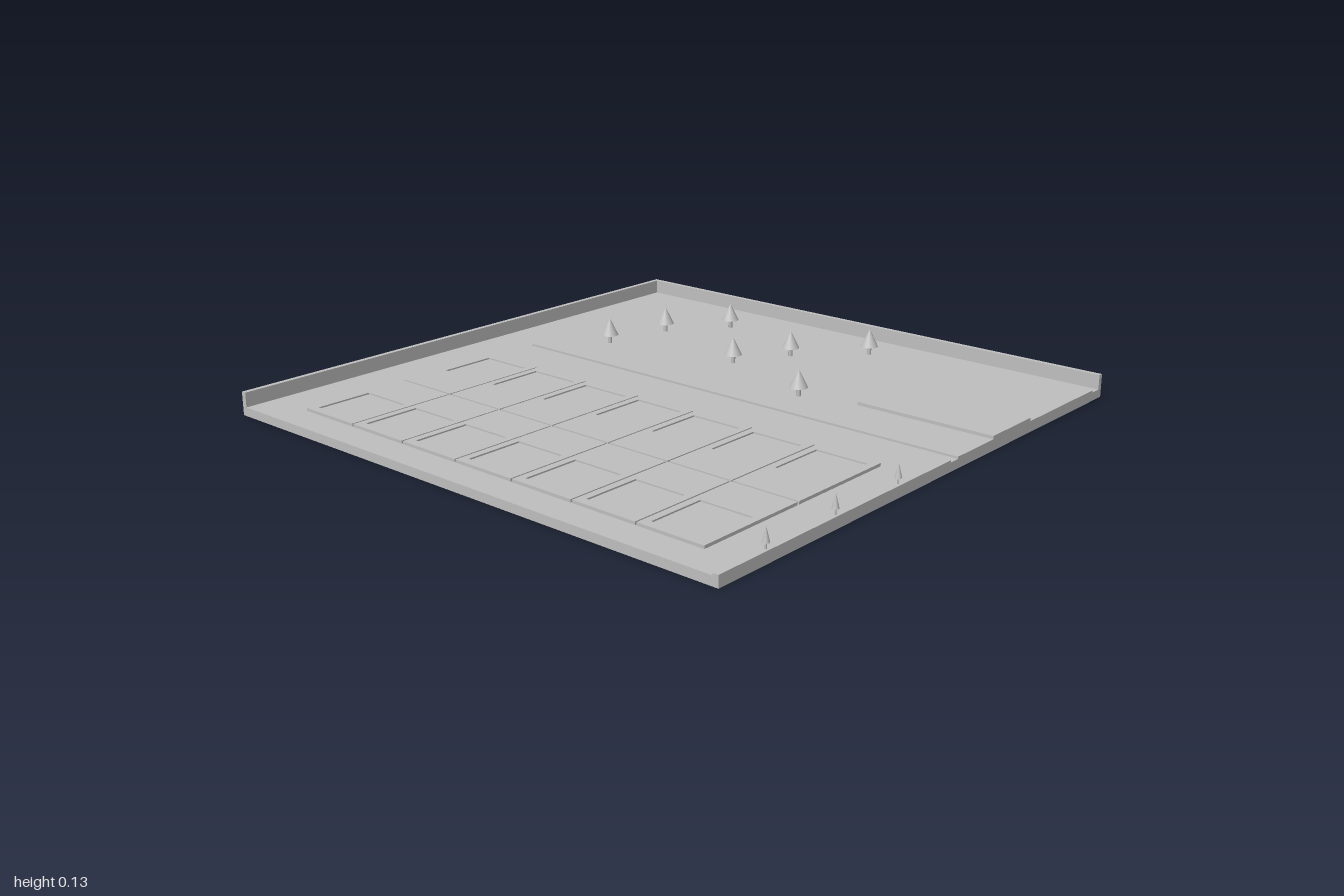
import * as THREE from 'three';

const grey = new THREE.MeshStandardMaterial({ color: 0xc0c0c0 });
grey.name = 'plain grey';

function add(parent, name, geometry, x = 0, y = 0, z = 0) {
  const mesh = new THREE.Mesh(geometry, grey);
  mesh.name = name;
  mesh.position.set(x, y, z);
  parent.add(mesh);
  return mesh;
}

// Box given by its limits on each axis
function block(parent, name, x0, x1, y0, y1, z0, z1) {
  return add(parent, name, new THREE.BoxGeometry(x1 - x0, y1 - y0, z1 - z0),
    (x0 + x1) / 2, (y0 + y1) / 2, (z0 + z1) / 2);
}

// Rectangle outline on the ground; shape y is -z
function rect(path, x0, x1, z0, z1) {
  path.moveTo(x0, -z1);
  path.lineTo(x1, -z1);
  path.lineTo(x1, -z0);
  path.lineTo(x0, -z0);
  path.closePath();
  return path;
}

// Raised lot with a shallow square foundation recess
function plot(parent, x0, z0, padZ) {
  const w = 0.234, d = 0.392;
  const lot = new THREE.Group();
  lot.name = 'plot';
  const shape = rect(new THREE.Shape(), x0, x0 + w, z0, z0 + d);
  shape.holes.push(rect(new THREE.Path(), x0 + 0.025, x0 + w - 0.025, padZ, padZ + 0.2));
  const top = add(lot, 'plotSurface',
    new THREE.ExtrudeGeometry(shape, { depth: 0.01, bevelEnabled: false }), 0, 0.03, 0);
  top.rotation.x = -Math.PI / 2;
  block(lot, 'foundation', x0 + 0.025, x0 + w - 0.025, 0.03, 0.035, padZ, padZ + 0.2);
  parent.add(lot);
}

// Cone tree on a short trunk
function tree(parent, name, x, z, ground, base, top, radius) {
  const g = new THREE.Group();
  g.name = name;
  add(g, 'trunk', new THREE.CylinderGeometry(radius * 0.25, radius * 0.25, base - ground, 12),
    0, (ground + base) / 2, 0);
  add(g, 'foliage', new THREE.ConeGeometry(radius, top - base, 24), 0, (base + top) / 2, 0);
  g.position.set(x, 0, z);
  parent.add(g);
}

export function createModel() {
  const model = new THREE.Group();
  model.name = 'sitePlan';

  // Ground and boundary walls
  block(model, 'ground', -1, 1, 0, 0.03, -1, 1);
  block(model, 'leftWall', -1, -0.982, 0.03, 0.08, -1, 1);
  block(model, 'backWall', -0.982, 1, 0.03, 0.08, -1, -0.982);
  block(model, 'sideCurb', 0.98, 1, 0.03, 0.037, -0.06, 1);

  // Park with a raised court
  block(model, 'park', -0.8, 1, 0.03, 0.037, -0.94, -0.1);
  block(model, 'court', 0.5, 1, 0.037, 0.048, -0.525, -0.3);

  // Two rows of seven plots
  for (let i = 0; i < 7; i++) {
    const x = -0.807 + i * 0.2393;
    plot(model, x, 0.1, 0.13);
    plot(model, x, 0.5, 0.662);
  }

  // Park trees
  const spots = [[-0.4, -0.75], [0.2, -0.8], [0, -0.6], [-0.55, -0.55],
    [-0.1, -0.4], [-0.6, -0.3], [0.3, -0.25]];
  for (const [x, z] of spots) tree(model, 'parkTree', x, z, 0.037, 0.067, 0.13, 0.031);

  // Small trees along the side curb
  for (const z of [0.2, 0.5, 0.8]) tree(model, 'curbTree', 0.989, z, 0.037, 0.055, 0.1, 0.011);

  return model;
}
